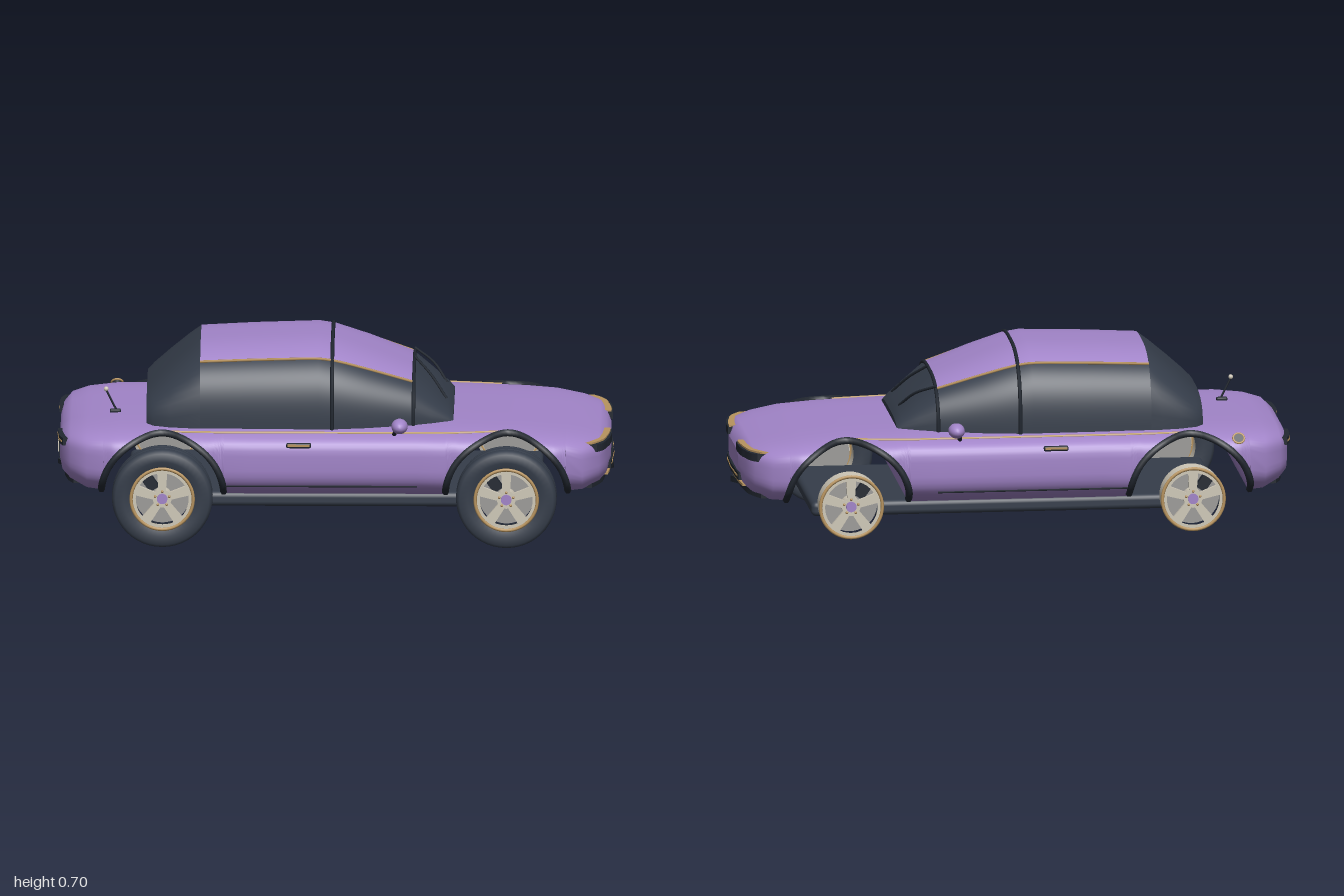
import * as THREE from 'three';
import { RoundedBoxGeometry } from 'three/addons/geometries/RoundedBoxGeometry.js';

const mat = (name, color, side = THREE.FrontSide) => {
  const m = new THREE.MeshStandardMaterial({ color, side });
  m.name = name;
  return m;
};
const M = {
  paint: mat('purple paint', 0xa184c8, THREE.DoubleSide),
  dark: mat('dark glass and rubber', 0x353d4a, THREE.DoubleSide),
  trim: mat('black trim', 0x222831),
  tan: mat('bronze trim', 0xb8945f),
  cream: mat('cream alloy', 0xcfc8b8, THREE.DoubleSide),
  grey: mat('brake grey', 0x9c9b98),
};

const WHEEL_X = 0.625, WHEEL_Y = 0.183, ARCH_R = 0.216;
// x, bottom, top, half width
const BODY = [
  [-1, 0.25, 0.34, 0.2], [-0.99, 0.225, 0.37, 0.3], [-0.96, 0.205, 0.395, 0.37], [-0.9, 0.18, 0.408, 0.42],
  [-0.8, 0.168, 0.415, 0.45], [-0.4, 0.165, 0.42, 0.452], [0.4, 0.165, 0.42, 0.452], [0.65, 0.165, 0.412, 0.452],
  [0.8, 0.168, 0.4, 0.445], [0.9, 0.178, 0.385, 0.41], [0.96, 0.2, 0.372, 0.35], [0.985, 0.215, 0.36, 0.27], [1, 0.25, 0.325, 0.15],
];
// x, roof height, half width
const CABIN = [
  [-0.685, 0.51, 0.285], [-0.66, 0.535, 0.315], [-0.6, 0.59, 0.335], [-0.53, 0.65, 0.345], [-0.49, 0.68, 0.347],
  [-0.3, 0.69, 0.353], [-0.06, 0.698, 0.356], [0, 0.688, 0.355], [0.12, 0.648, 0.342], [0.28, 0.587, 0.312],
  [0.35, 0.525, 0.288], [0.41, 0.468, 0.262], [0.43, 0.44, 0.25],
];
const BELT = 0.4, SPLIT = 0.88;

function sample(table, x) {
  let i = 1;
  while (i < table.length - 1 && table[i][0] < x) i++;
  const a = table[i - 1], b = table[i];
  const t = THREE.MathUtils.clamp((x - a[0]) / (b[0] - a[0]), 0, 1);
  return a.map((v, k) => v + (b[k] - v) * t);
}

const power = (v, p) => Math.sign(v) * Math.pow(Math.abs(v), p);

// Body cross-section measures at x
function bodyShape(x) {
  const [, lo, hi, w] = sample(BODY, x);
  const c = lo + (hi - lo) * 0.52;
  return { lo, c, w, up: hi - c, down: (c - lo) * 1.2 };
}

function bodyZ(x, y) {
  const { c, w, up, down } = bodyShape(x);
  const [b, n] = y > c ? [up, 4.5] : [down, 3];
  return w * Math.pow(Math.max(0, 1 - Math.pow(Math.abs(y - c) / b, n)), 1 / n);
}

// Distance of the nose or tail surface at a given z and y
function endX(s, z, y) {
  let x = 1;
  while (x > 0.7 && bodyZ(s * x, y) < Math.abs(z)) x -= 0.002;
  return x;
}

// Skin over rows of points, rows running toward +x
function loft(rows) {
  const n = rows[0].length, index = [];
  for (let i = 0; i < rows.length - 1; i++)
    for (let j = 0; j < n - 1; j++) {
      const a = i * n + j, b = a + n;
      index.push(a, b, a + 1, b, b + 1, a + 1);
    }
  const g = new THREE.BufferGeometry();
  g.setAttribute('position', new THREE.Float32BufferAttribute(rows.flat(2), 3));
  g.setIndex(index);
  g.computeVertexNormals();
  return g;
}

const centreRow = (row, y) => row.map(p => [p[0], y, 0]);

function bodyGeometry() {
  const xs = BODY.map(r => r[0]).filter(x => Math.abs(Math.abs(x) - WHEEL_X) > ARCH_R);
  for (const s of [-1, 1])
    for (let k = 0; k <= 24; k++) xs.push(s * WHEEL_X + ARCH_R * Math.cos((k / 24) * Math.PI));
  for (let k = -3; k <= 3; k++) xs.push(k * 0.1);
  xs.sort((a, b) => a - b);
  const rows = xs.map(x => {
    const { lo, c, w, up, down } = bodyShape(x);
    const d = Math.abs(x) - WHEEL_X;
    const arch = Math.abs(d) <= ARCH_R ? WHEEL_Y + Math.sqrt(Math.max(0, ARCH_R ** 2 - d * d)) : 0;
    const y0 = Math.max(lo, arch);
    const t0 = y0 < c ? -Math.asin(Math.pow((c - y0) / down, 1.5)) : Math.asin(Math.min(1, Math.pow((y0 - c) / up, 2.25)));
    const row = [];
    for (let j = 0; j <= 48; j++) {
      const t = t0 + (Math.PI - 2 * t0) * (j / 48), sn = Math.sin(t);
      const [b, n] = sn > 0 ? [up, 4.5] : [down, 3];
      row.push([x, c + b * power(sn, 2 / n), w * power(Math.cos(t), 2 / n)]);
    }
    return [...row, row[48], row[0]];
  });
  const first = rows[0], last = rows[rows.length - 1];
  return loft([centreRow(first, 0.295), first, ...rows, last, centreRow(last, 0.29)]);
}

function cabinPoint(x, t, grow = 0) {
  const [, top, w] = sample(CABIN, x);
  return [x, BELT + (top + grow - BELT) * power(Math.sin(t), 2 / 3), (w + grow) * power(Math.cos(t), 2 / 3)];
}

function cabinRows(x0, x1, t0, t1) {
  return CABIN.filter(r => r[0] >= x0 && r[0] <= x1).map(r =>
    Array.from({ length: 29 }, (_, j) => cabinPoint(r[0], t0 + (t1 - t0) * (j / 28))));
}

function tube(points, r, segments = 28) {
  const curve = new THREE.CatmullRomCurve3(points.map(p => new THREE.Vector3(...p)));
  return new THREE.TubeGeometry(curve, segments, r, 6);
}

const range = (a, b, n) => Array.from({ length: n + 1 }, (_, i) => a + (b - a) * (i / n));

export function createModel() {
  const car = new THREE.Group();
  car.name = 'car';
  const add = (name, geometry, material, pos = [0, 0, 0], parent = car) => {
    const m = new THREE.Mesh(geometry, material);
    m.name = name;
    m.position.set(...pos);
    parent.add(m);
    return m;
  };

  // Body and underside
  add('body', bodyGeometry(), M.paint);
  add('floorPan', new RoundedBoxGeometry(1.5, 0.055, 0.65, 3, 0.02), M.dark, [0, 0.138, 0]);
  add('floorPanel', new THREE.BoxGeometry(0.9, 0.012, 0.47), M.trim, [0, 0.106, 0]);

  // Cabin: dark ends and sides, painted roof
  const rear = cabinRows(-0.685, -0.49, 0, Math.PI);
  add('rearWindow', loft([centreRow(rear[0], 0.44), rear[0], ...rear]), M.dark);
  const front = cabinRows(0.28, 0.43, 0, Math.PI), end = front[front.length - 1];
  add('windscreen', loft([...front, end, centreRow(end, 0.42)]), M.dark);
  add('roof', loft(cabinRows(-0.49, 0.28, SPLIT, Math.PI - SPLIT)), M.paint);
  add('leftWindows', loft(cabinRows(-0.49, 0.28, 0, SPLIT)), M.dark);
  add('rightWindows', loft(cabinRows(-0.49, 0.28, Math.PI - SPLIT, Math.PI)), M.dark);
  const hoop = x => tube(range(0, Math.PI, 24).map(t => cabinPoint(x, t, 0.002)), 0.007, 60);
  add('roofBand', hoop(-0.01), M.trim);
  add('windscreenFrame', hoop(0.285), M.trim);

  // Trim and fittings on both flanks
  for (const s of [1, -1]) {
    const flank = (x0, x1, y, out = 0) => range(x0, x1, 12).map(x => [x, y, s * (bodyZ(x, y) + out)]);
    add('roofStrip', tube(range(-0.49, 0.28, 12).map(x => cabinPoint(x, s > 0 ? SPLIT : Math.PI - SPLIT, 0.002)), 0.005), M.tan);
    add('beltStrip', tube(flank(-0.6, 0.6, 0.403), 0.005), M.tan);
    add('sillLine', tube(flank(-0.4, 0.3, 0.215), 0.004), M.trim);
    add('doorHandle', new RoundedBoxGeometry(0.09, 0.018, 0.02, 2, 0.006), M.trim, [-0.13, 0.37, s * bodyZ(-0.13, 0.37)]);
    add('handleInlay', new THREE.BoxGeometry(0.08, 0.007, 0.008), M.tan, [-0.13, 0.372, s * (bodyZ(-0.13, 0.37) + 0.009)]);
    for (const e of [-1, 1]) {
      const arch = range(0, Math.PI, 20).map(t => {
        const x = e * WHEEL_X + (ARCH_R + 0.006) * Math.cos(t), y = WHEEL_Y + (ARCH_R + 0.002) * Math.sin(t);
        return [x, y, s * bodyZ(x, y)];
      });
      add('archTrim', tube(arch, 0.013, 48), M.trim);
    }
    // Wing mirror
    add('mirrorStalk', tube([[0.215, 0.39, s * 0.38], [0.22, 0.415, s * 0.42], [0.235, 0.445, s * 0.46]], 0.008, 8), M.trim);
    add('mirror', new THREE.SphereGeometry(1, 20, 14), M.paint, [0.237, 0.45, s * 0.47]).scale.set(0.03, 0.027, 0.045);
  }

  // Bars that follow the curve of the nose (s = 1) or tail (s = -1)
  const bar = (name, material, s, z, len, y, h, d) => {
    const g = new THREE.BoxGeometry(d, h, len, 1, 1, 14), p = g.attributes.position;
    for (let i = 0; i < p.count; i++) {
      const zz = p.getZ(i) + z;
      p.setXYZ(i, p.getX(i) + s * endX(s, zz, y), p.getY(i) + y, zz);
    }
    g.computeVertexNormals();
    add(name, g, material);
  };
  for (const s of [1, -1]) {
    bar('headlight', M.trim, 1, s * 0.245, 0.23, 0.343, 0.028, 0.03);
    bar('headlightStrip', M.tan, 1, s * 0.245, 0.23, 0.36, 0.007, 0.036);
    bar('tailLight', M.trim, -1, s * 0.25, 0.15, 0.352, 0.028, 0.026);
    bar('tailLightStrip', M.tan, -1, s * 0.25, 0.13, 0.352, 0.006, 0.03);
  }
  bar('grille', M.trim, 1, 0, 0.36, 0.238, 0.028, 0.02);
  bar('grilleStrip', M.tan, 1, 0, 0.34, 0.238, 0.005, 0.024);
  bar('bumperStrip', M.tan, 1, 0, 0.44, 0.215, 0.009, 0.022);
  bar('frontLip', M.trim, 1, 0, 0.62, 0.193, 0.022, 0.02);
  bar('rearLip', M.trim, -1, 0, 0.6, 0.2, 0.018, 0.02);
  bar('plateHolder', M.trim, -1, 0, 0.15, 0.262, 0.05, 0.012);
  bar('plate', M.cream, -1, 0, 0.1, 0.262, 0.032, 0.018);

  // Wipers, aerial and fuel cap
  add('wiper', tube([[0.405, 0.472, 0.14], [0.35, 0.54, 0.07], [0.288, 0.595, 0]], 0.005, 10), M.trim);
  add('wiper', tube([[0.405, 0.472, -0.1], [0.355, 0.53, -0.17], [0.285, 0.568, -0.24]], 0.005, 10), M.trim);
  add('aerialBase', new RoundedBoxGeometry(0.04, 0.015, 0.02, 2, 0.005), M.trim, [-0.8, 0.418, 0.122]);
  add('aerial', tube([[-0.795, 0.42, 0.122], [-0.815, 0.46, 0.122], [-0.832, 0.495, 0.122]], 0.004, 8), M.trim);
  add('aerialTip', new THREE.SphereGeometry(0.009, 10, 8), M.cream, [-0.833, 0.5, 0.122]);
  const capZ = -bodyZ(-0.8, 0.385);
  const cap = add('fuelCap', new THREE.CylinderGeometry(0.018, 0.018, 0.014, 20), M.trim, [-0.8, 0.385, capZ]);
  cap.rotation.x = Math.PI / 2 + 0.7;
  const ring = add('fuelCapRing', new THREE.TorusGeometry(0.02, 0.004, 8, 24), M.tan, [-0.8, 0.388, capZ - 0.004]);
  ring.rotation.x = 0.7;

  // Wheels: the tyres are fitted on the left side only
  const tyreProfile = [
    [0.112, -0.045], [0.14, -0.055], [0.17, -0.052], [0.181, -0.04], [0.183, -0.022], [0.178, -0.019], [0.178, -0.015], [0.183, -0.012],
    [0.183, 0.012], [0.178, 0.015], [0.178, 0.019], [0.183, 0.022], [0.181, 0.04], [0.17, 0.052], [0.14, 0.055], [0.112, 0.045],
  ].map(p => new THREE.Vector2(...p));
  for (const s of [1, -1]) for (const e of [1, -1]) {
    const wheel = new THREE.Group();
    wheel.name = 'wheel';
    wheel.position.set(e * WHEEL_X, WHEEL_Y, s * 0.455);
    car.add(wheel);
    const disc = (name, r, len, z, material, open = false) => {
      add(name, new THREE.CylinderGeometry(r, r, len, 40, 1, open), material, [0, 0, s * z], wheel).rotation.x = Math.PI / 2;
    };
    if (s > 0) add('tyre', new THREE.LatheGeometry(tyreProfile, 48), M.dark, [0, 0, 0], wheel).rotation.x = Math.PI / 2;
    disc('rimBarrel', 0.115, 0.085, 0.007, M.cream, true);
    disc('brakeDisc', 0.1, 0.012, -0.01, M.grey);
    disc('hub', 0.034, 0.045, 0.018, M.cream);
    disc('hubCap', 0.019, 0.01, 0.043, M.paint);
    add('rimLip', new THREE.TorusGeometry(0.113, 0.006, 8, 48), M.tan, [0, 0, s * 0.049], wheel);
    add('rimFace', new THREE.RingGeometry(0.096, 0.114, 40), M.cream, [0, 0, s * 0.045], wheel);
    add('caliper', new THREE.BoxGeometry(0.04, 0.06, 0.03), M.trim, [-0.045, 0.055, s * 0.008], wheel).rotation.z = 0.6;
    // Five tapered spokes
    const spoke = new THREE.Shape([[-0.013, 0.02], [0.013, 0.02], [0.019, 0.104], [-0.019, 0.104]].map(p => new THREE.Vector2(...p)));
    const spokeGeo = new THREE.ExtrudeGeometry(spoke, { depth: 0.014, bevelEnabled: false }).translate(0, 0, -0.007);
    for (let k = 0; k < 5; k++) {
      const a = (k / 5) * Math.PI * 2;
      add('spoke', spokeGeo, M.cream, [0, 0, s * 0.034], wheel).rotation.z = a;
      add('wheelBolt', new THREE.SphereGeometry(0.005, 8, 6), M.tan, [Math.sin(a) * 0.027, Math.cos(a) * 0.027, s * 0.042], wheel);
    }
  }
  return car;
}
